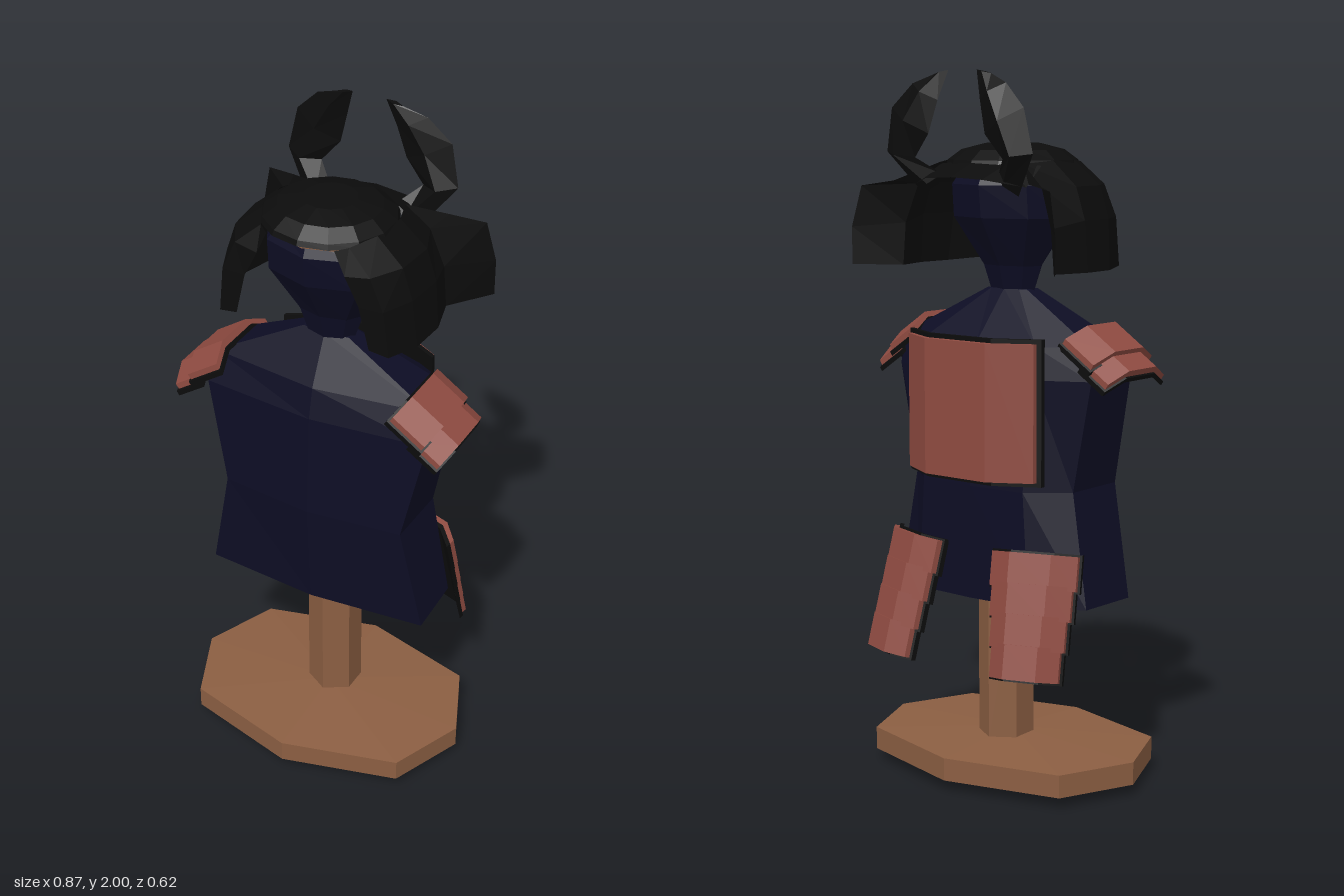
import * as THREE from 'three';

const flat = (color, name) => Object.assign(new THREE.MeshStandardMaterial({ color, side: THREE.DoubleSide }), { name });

// Faceted geometry from rows of points; closed rows form a capped solid
function loft(rows, closed = true) {
  const n = rows[0].length, pos = rows.flat(2), idx = [];
  for (let r = 0; r < rows.length - 1; r++) {
    for (let i = 0; i < (closed ? n : n - 1); i++) {
      const j = (i + 1) % n, a = r * n + i, b = r * n + j;
      idx.push(a, b, a + n, b, b + n, a + n);
    }
  }
  if (closed) {
    const top = (rows.length - 1) * n;
    for (let i = 1; i < n - 1; i++) idx.push(0, i + 1, i, top, top + i, top + i + 1);
  }
  const g = new THREE.BufferGeometry();
  g.setAttribute('position', new THREE.Float32BufferAttribute(pos, 3));
  g.setIndex(idx);
  const out = g.toNonIndexed();
  out.computeVertexNormals();
  return out;
}

// Mirrored horizontal ring from its +x half, front centre to back centre
const ring = (y, half) => [...half, ...half.slice(1, -1).reverse().map(([x, z]) => [-x, z])].map(([x, z]) => [x, y, z]);

// Elliptical horizontal ring
const oval = (y, rx, rz, n = 10, cz = 0) => Array.from({ length: n }, (_, i) => {
  const a = (i / n) * Math.PI * 2;
  return [Math.sin(a) * rx, y, cz + Math.cos(a) * rz];
});

export function createModel() {
  const model = new THREE.Group();
  const wood = flat(0x8b5e42, 'wood');
  const cloth = flat(0x0d0d24, 'navy cloth');
  const black = flat(0x0c0c0c, 'black lacquer');
  const red = flat(0x8f4b41, 'red lacquer');

  const add = (name, geo, mat, parent = model) => {
    const m = new THREE.Mesh(geo, mat);
    m.name = name;
    parent.add(m);
    return m;
  };

  // Stand
  const foot = (y, s) => ring(y, [[0, 0.307], [0.34, 0.218], [0.432, 0], [0.34, -0.218], [0, -0.307]].map(([x, z]) => [x * s, z * s]));
  add('standBase', loft([foot(0.004, 0.03), foot(0.035, 1), foot(0.1, 1), foot(0.12, 0.03)]), wood);
  const pole = new THREE.CylinderGeometry(0.08, 0.08, 0.5, 6).toNonIndexed();
  pole.computeVertexNormals();
  add('standPole', pole, wood).position.set(0, 0.35, -0.03);

  // Torso with flared hem, waist and sloped shoulders
  add('torso', loft([
    ring(0.54, [[0, 0.12], [0.345, 0.09], [0.34, -0.1], [0.2, -0.18], [0, -0.19]]),
    ring(0.86, [[0, 0.14], [0.28, 0.11], [0.285, -0.09], [0.18, -0.18], [0, -0.19]]),
    ring(1.17, [[0, 0.125], [0.345, 0.09], [0.345, -0.09], [0.2, -0.16], [0, -0.175]]),
    ring(1.26, [[0, 0.105], [0.335, 0.06], [0.335, -0.08], [0.2, -0.15], [0, -0.16]]),
    ring(1.4, [[0, 0.035], [0.07, 0.025], [0.07, -0.025], [0.05, -0.035], [0, -0.04]]),
  ]), cloth);

  // Neck and head
  add('head', loft([
    oval(1.39, 0.075, 0.04, 8), oval(1.465, 0.1, 0.06, 8), oval(1.6, 0.188, 0.14, 8),
    oval(1.69, 0.188, 0.15, 8), oval(1.735, 0.15, 0.13, 8),
  ]), cloth);

  // Helmet bowl, headband and visor
  add('headband', loft([oval(1.725, 0.175, 0.158), oval(1.747, 0.175, 0.158)]), wood);
  add('helmetBowl', loft([
    oval(1.743, 0.19, 0.183, 14), oval(1.758, 0.183, 0.178, 14), oval(1.786, 0.145, 0.14, 14), oval(1.803, 0.075, 0.075, 14),
  ]), black);
  add('visor', loft([
    [[-0.18, 1.745, -0.1], [-0.1, 1.75, -0.15], [0, 1.755, -0.17], [0.1, 1.75, -0.15], [0.18, 1.745, -0.1]],
    [[-0.2, 1.69, -0.19], [-0.1, 1.71, -0.255], [0, 1.715, -0.265], [0.1, 1.71, -0.255], [0.2, 1.69, -0.19]],
  ], false), black);

  // Helmet side guards with an outward flare, and horns
  const guard = loft([
    [[0.1, 1.747, 0.165], [0.13, 1.68, 0.165], [0.17, 1.6, 0.163], [0.2, 1.475, 0.16]],
    [[0.13, 1.752, 0.14], [0.2, 1.69, 0.158], [0.24, 1.6, 0.16], [0.255, 1.465, 0.155]],
    [[0.17, 1.758, 0.06], [0.25, 1.69, 0.07], [0.28, 1.6, 0.07], [0.293, 1.46, 0.06]],
    [[0.18, 1.758, -0.05], [0.26, 1.69, -0.05], [0.29, 1.6, -0.05], [0.3, 1.46, -0.05]],
    [[0.15, 1.75, -0.14], [0.22, 1.69, -0.15], [0.26, 1.58, -0.16], [0.27, 1.46, -0.16]],
    [[0.24, 1.7, -0.23], [0.335, 1.685, -0.26], [0.362, 1.57, -0.272], [0.362, 1.465, -0.272]],
  ], false);
  // Each section: inner x, y, outer x, y, depth z, half thickness
  const horn = loft([
    [0.1, 1.72, 0.17, 1.665, -0.185, 0.025],
    [0.155, 1.765, 0.258, 1.78, -0.235, 0.035],
    [0.1, 1.83, 0.233, 1.9, -0.242, 0.03],
    [0.075, 1.92, 0.165, 1.965, -0.232, 0.025],
    [0.05, 2.0, 0.1, 1.99, -0.215, 0.01],
  ].map(([ix, iy, ox, oy, z, t]) => {
    const mx = (ix + ox) / 2, my = (iy + oy) / 2;
    return [[mx, my, z + t], [ox, oy, z], [mx, my, z - t], [ix, iy, z]];
  }));

  // Arched armour plate hanging from its origin, bulging to +z, with a black lining
  function plate(name, w, h, bulge, border = 0.006) {
    const group = new THREE.Group();
    group.name = name;
    const arch = (half, z, t, len) => {
      const outer = [[-half, z], [-half * 0.48, z + bulge], [half * 0.48, z + bulge], [half, z]];
      const inner = outer.map(([x, y]) => [x, y - t]).reverse();
      const shape = new THREE.Shape([...outer, ...inner].map(([x, y]) => new THREE.Vector2(x, y)));
      return new THREE.ExtrudeGeometry(shape, { depth: len, bevelEnabled: false }).rotateX(Math.PI / 2);
    };
    add('lacquerFace', arch(w / 2, 0.02, 0.02, h), red, group);
    add('lining', arch(w / 2 + border, 0, 0.014, h + border * 2), black, group).position.y = border;
    model.add(group);
    group.rotation.order = 'YXZ';
    return group;
  }

  // Chest plate
  const chest = plate('chestPlate', 0.45, 0.38, 0.065, 0.012);
  chest.position.set(0, 1.272, -0.17);
  chest.rotation.y = Math.PI;

  for (const s of [1, -1]) {
    const side = s > 0 ? 'left' : 'right';
    add(side + 'HelmetGuard', guard, black).scale.x = s;
    add(side + 'Horn', horn, black).scale.x = s;

    // Two overlapping shoulder plates
    [[0.262, 1.268, 0.115, 0.27], [0.328, 1.205, 0.09, 0.26]].forEach(([x, y, h, w], i) => {
      const p = plate(`${side}ShoulderPlate${i + 1}`, w, h, 0.038);
      p.position.set(s * x, y, 0.022);
      p.rotation.set(-0.98, s * Math.PI / 2, 0);
    });

    // Four stepped thigh plates
    for (let i = 0; i < 4; i++) {
      const p = plate(`${side}ThighPlate${i + 1}`, 0.25 - i * 0.017, 0.095, 0.04);
      p.position.set(s * (0.212 + i * 0.008), 0.69 - i * 0.08, -0.155 - i * 0.023);
      p.rotation.set(-0.24, Math.PI - s * 0.33, 0);
    }
  }
  return model;
}
